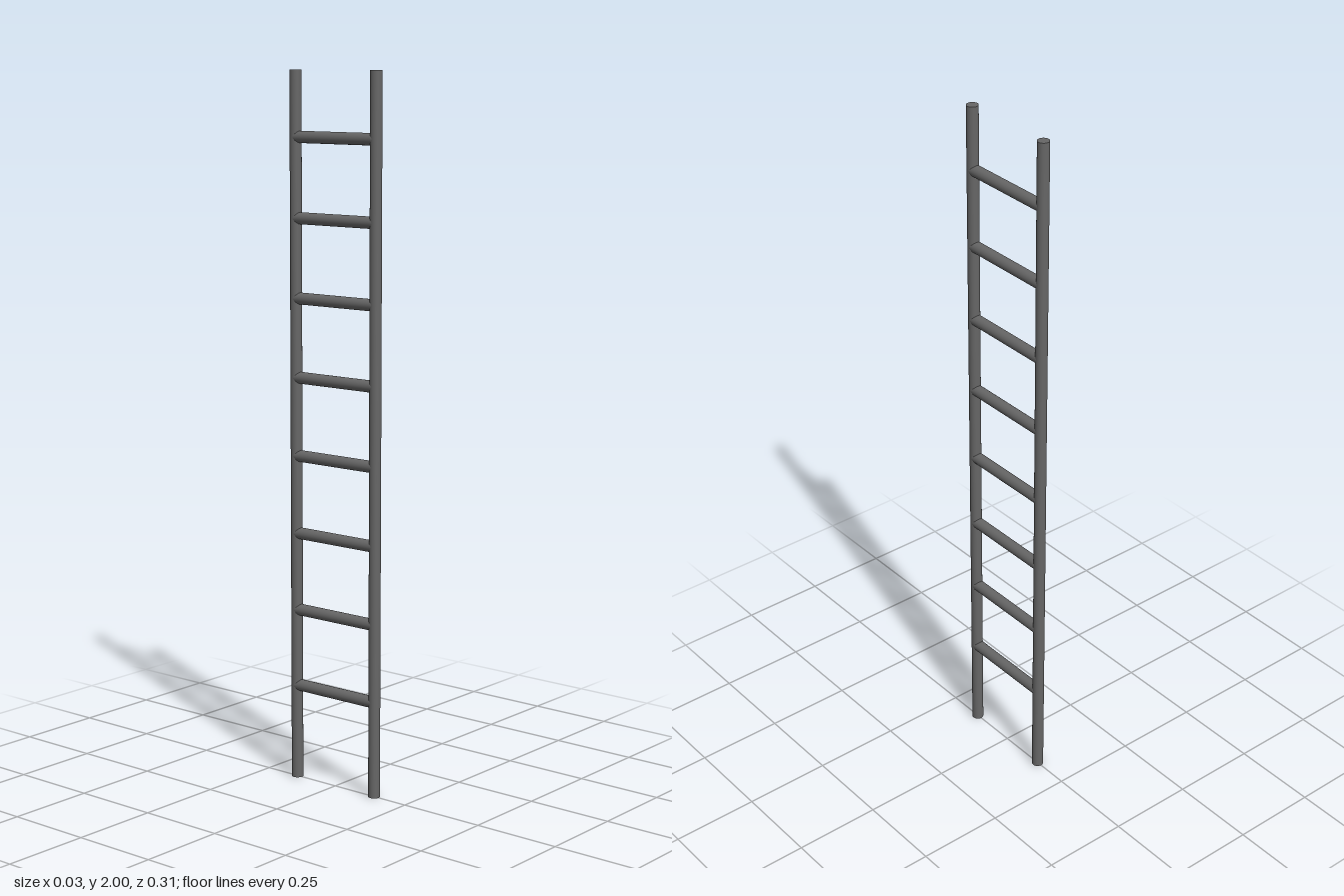
import * as THREE from 'three';

const HEIGHT = 2;
const RADIUS = 0.0165;
const RAIL_Z = 0.141;
const RUNGS = 8;
const FIRST_RUNG = 0.272;
const RUNG_STEP = 0.221;

export function createModel() {
  const ladder = new THREE.Group();
  ladder.name = 'ladder';
  const metal = new THREE.MeshStandardMaterial({ color: 0x666666 });

  // Two upright round rails
  const railGeometry = new THREE.CylinderGeometry(RADIUS, RADIUS, HEIGHT, 32);
  for (const side of [1, -1]) {
    const rail = new THREE.Mesh(railGeometry, metal);
    rail.name = side > 0 ? 'frontRail' : 'backRail';
    rail.position.set(0, HEIGHT / 2, side * RAIL_Z);
    ladder.add(rail);
  }

  // Evenly spaced round rungs, ending inside the rails
  const rungGeometry = new THREE.CylinderGeometry(RADIUS, RADIUS, 2 * RAIL_Z, 32);
  rungGeometry.rotateX(Math.PI / 2);
  for (let i = 0; i < RUNGS; i++) {
    const rung = new THREE.Mesh(rungGeometry, metal);
    rung.name = `rung${i + 1}`;
    rung.position.y = FIRST_RUNG + i * RUNG_STEP;
    ladder.add(rung);
  }

  return ladder;
}
